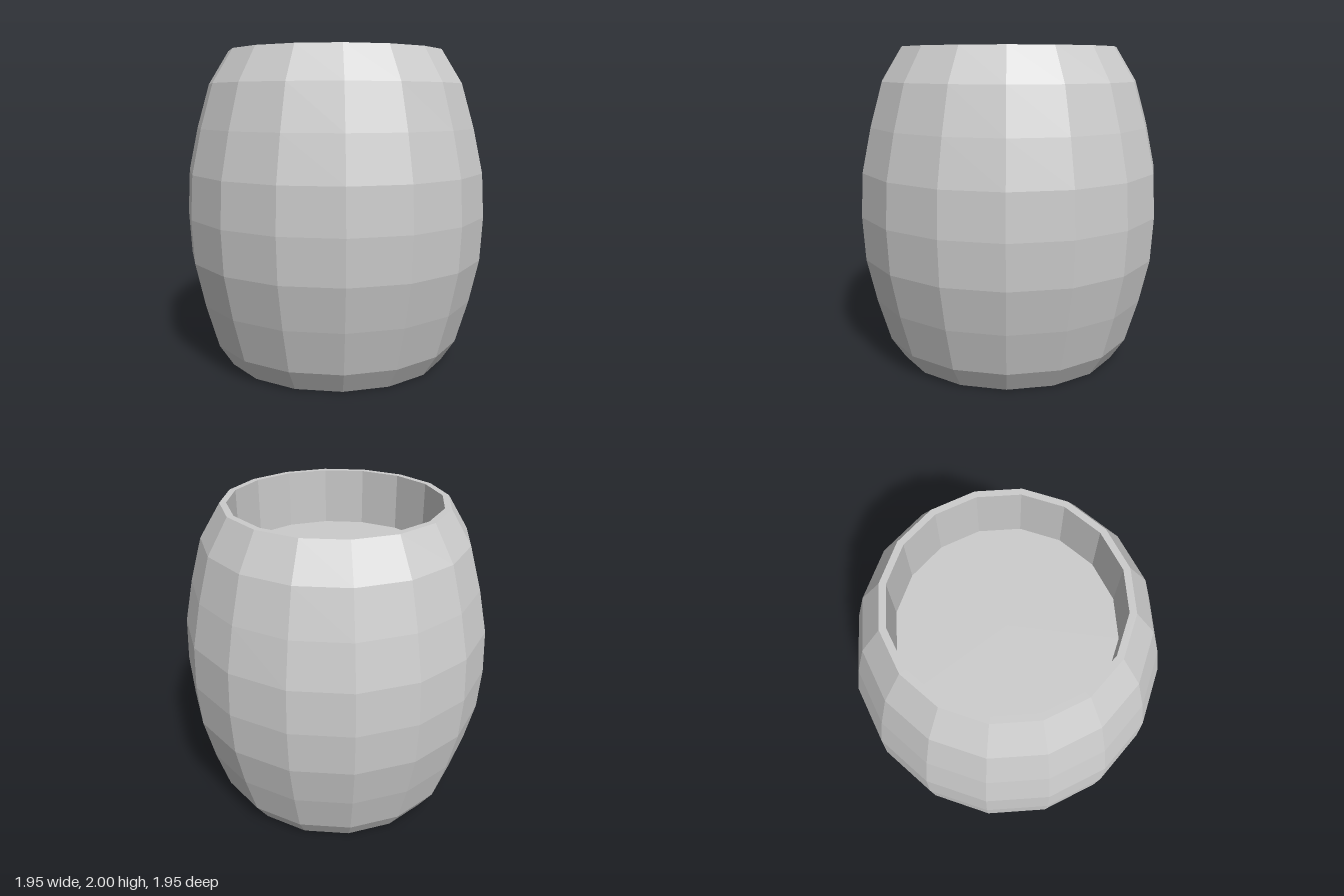
import * as THREE from 'three';

const SIDES = 16;
const material = new THREE.MeshStandardMaterial({ color: 0xcccccc, flatShading: true });

// Faceted ring swept from [radius, height] pairs
function lathe(name, profile) {
  const points = profile.map(([r, y]) => new THREE.Vector2(r, y));
  const mesh = new THREE.Mesh(new THREE.LatheGeometry(points, SIDES), material);
  mesh.name = name;
  return mesh;
}

// Flat polygon facing up (dir = 1) or down (dir = -1)
function disc(name, radius, y, dir) {
  const mesh = new THREE.Mesh(new THREE.CircleGeometry(radius, SIDES), material);
  mesh.rotation.x = -dir * Math.PI / 2;
  mesh.position.y = y;
  mesh.name = name;
  return mesh;
}

export function createModel() {
  const barrel = new THREE.Group();
  barrel.name = 'barrel';

  // Bulging outer wall
  barrel.add(lathe('outerWall', [
    [0.73, 0], [0.82, 0.14], [0.9, 0.415], [0.96, 0.69], [0.975, 0.965],
    [0.96, 1.24], [0.9, 1.515], [0.82, 1.79], [0.69, 2],
  ]));

  // Narrow top rim and the straight wall of the recess
  barrel.add(lathe('rim', [[0.69, 2], [0.65, 2]]));
  barrel.add(lathe('innerWall', [[0.65, 2], [0.65, 1.64]]));

  // Sunken lid and flat base
  barrel.add(disc('lid', 0.65, 1.64, 1));
  barrel.add(disc('base', 0.73, 0, -1));

  return barrel;
}
